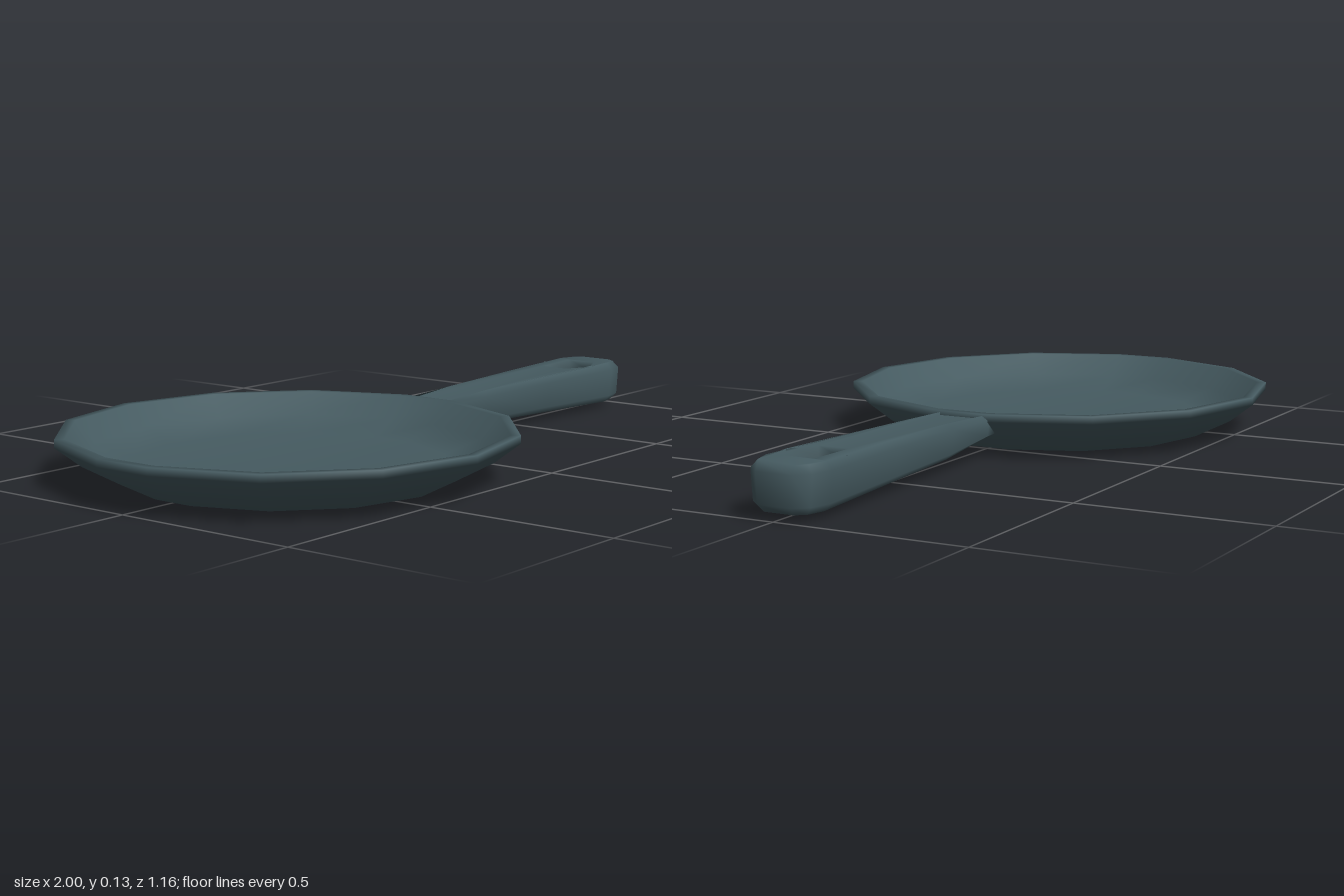
import * as THREE from 'three';
import { mergeVertices } from 'three/addons/utils/BufferGeometryUtils.js';

const iron = new THREE.MeshStandardMaterial({ color: 0x455a60 });
iron.name = 'dark blue-grey iron';

// Weld all corners so the low-poly form is shaded smoothly
function smooth(geometry) {
  geometry.deleteAttribute('uv');
  geometry.deleteAttribute('normal');
  const welded = mergeVertices(geometry, 1e-4);
  welded.computeVertexNormals();
  return welded;
}

// Piecewise-linear curve through [x, value] points
function curve(points, x) {
  if (x <= points[0][0]) return points[0][1];
  for (let i = 1; i < points.length; i++) {
    const [x0, v0] = points[i - 1], [x1, v1] = points[i];
    if (x <= x1) return v0 + (v1 - v0) * (x - x0) / (x1 - x0);
  }
  return points[points.length - 1][1];
}

// Pan: one closed profile swept round fourteen corners
function panGeometry() {
  const quarter = [8, 35, 62.5];
  const angles = [...quarter, 90, ...quarter.map(a => 180 - a).reverse(),
    ...quarter.map(a => 180 + a), 270, ...quarter.map(a => 360 - a).reverse()];
  const profile = [
    [0, 0], [0.415, 0], [0.515, 0.05], [0.58, 0.1], [0.58, 0.12],
    [0.555, 0.12], [0.505, 0.065], [0.41, 0.03], [0, 0.03],
  ];
  const n = angles.length, position = [], index = [];
  for (const [r, y] of profile) {
    for (const deg of angles) {
      const a = deg * Math.PI / 180;
      position.push(-0.425 + r * Math.cos(a), y, r * Math.sin(a));
    }
  }
  for (let i = 0; i < profile.length - 1; i++) {
    for (let j = 0; j < n; j++) {
      const a = i * n + j, b = i * n + (j + 1) % n;
      if (i > 0) index.push(a, a + n, b);
      if (i < profile.length - 2) index.push(b, a + n, b + n);
    }
  }
  // Flat fans close the base and the cooking floor
  const last = (profile.length - 2) * n;
  for (let j = 0; j < n; j++) {
    const k = (j + 1) % n;
    // the floor fan is already made by the first triangle of the last band
    if (last < 0) index.push(last + j, last + k, last);
  }
  const g = new THREE.BufferGeometry();
  g.setAttribute('position', new THREE.Float32BufferAttribute(position, 3));
  g.setIndex(index);
  return smooth(g);
}

// Handle: bevelled plan outline with a six-sided hanging hole, shaped in height
function handleGeometry() {
  const side = [[0.1, 0.08], [0.14, 0.08], [0.32, 0.077], [0.6, 0.087],
    [0.91, 0.1], [0.97, 0.085], [1, 0.05]];
  const outline = [...side.map(([x, z]) => [x, -z]), ...[...side].reverse()];
  const shape = new THREE.Shape(outline.map(([x, z]) => new THREE.Vector2(x, z)));
  const hole = [];
  for (let i = 0; i < 6; i++) {
    const a = Math.PI / 2 - i * Math.PI / 3;
    hole.push(new THREE.Vector2(0.825 + 0.063 * Math.cos(a), 0.063 * Math.sin(a)));
  }
  shape.holes.push(new THREE.Path(hole));

  const g = new THREE.ExtrudeGeometry(shape, {
    depth: 0.08, bevelThickness: 0.02, bevelSize: 0.018, bevelOffset: -0.018, bevelSegments: 1,
  });
  g.rotateX(-Math.PI / 2).translate(0, 0.02, 0);

  const bottom = [[0.1, 0.056], [0.32, 0.03], [0.93, 0.015], [1, 0.017]];
  const top = [[0.1, 0.1], [0.15, 0.119], [0.6, 0.128], [0.93, 0.132], [1, 0.13]];
  const p = g.attributes.position;
  for (let i = 0; i < p.count; i++) {
    const x = p.getX(i), t = p.getY(i) / 0.12;
    const low = curve(bottom, x), high = curve(top, x);
    p.setXYZ(i, x, low + (high - low) * t, p.getZ(i) * (0.9 + 0.1 * t) - 0.004);
  }
  return smooth(g);
}

export function createModel() {
  const model = new THREE.Group();
  model.name = 'fryingPan';
  const parts = { pan: panGeometry(), handle: handleGeometry() };
  for (const [name, geometry] of Object.entries(parts)) {
    const mesh = new THREE.Mesh(geometry, iron);
    mesh.name = name;
    model.add(mesh);
  }
  return model;
}
